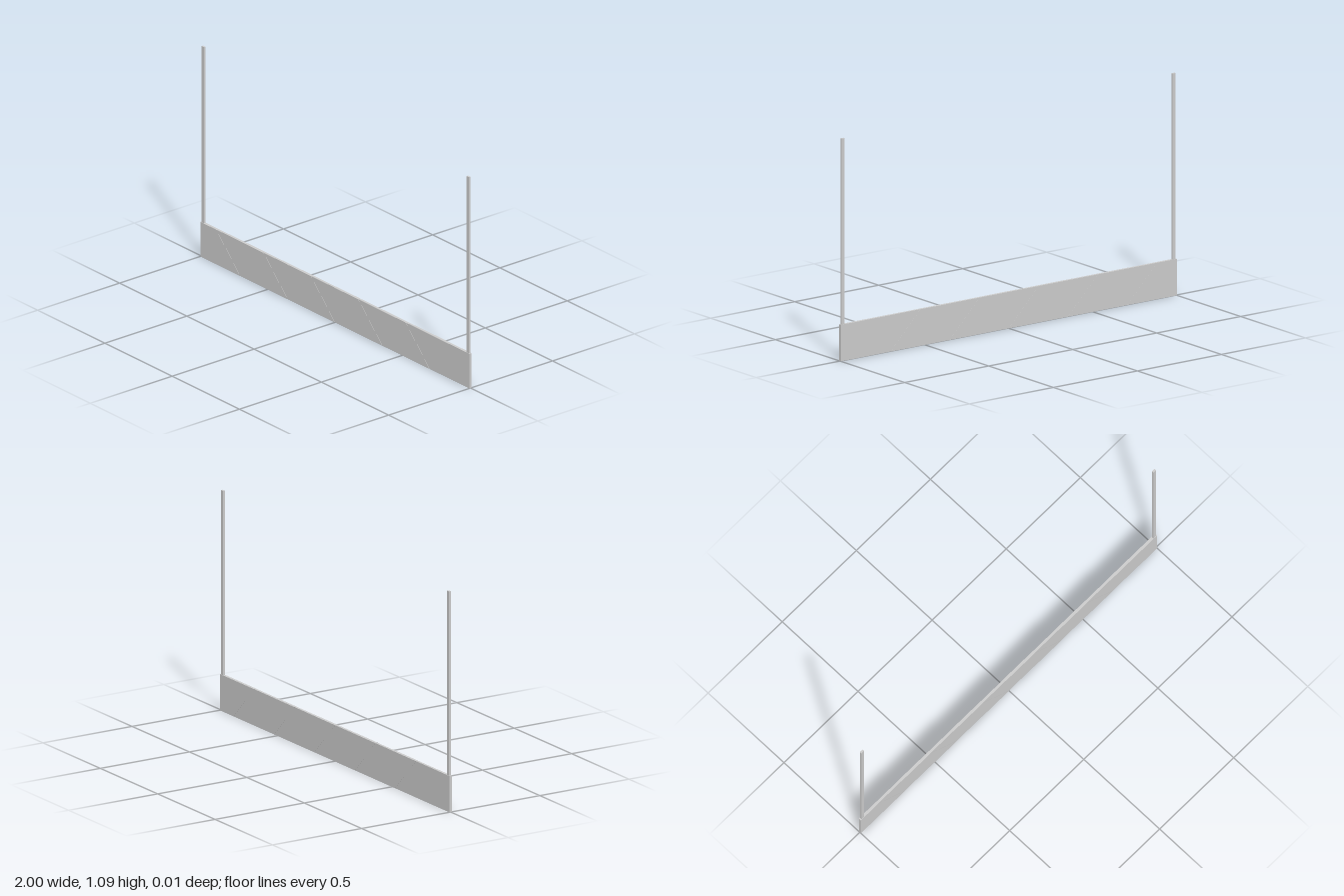
import * as THREE from 'three';

const HEIGHT = 0.178;      // panel height
const STEP = 0.352;        // distance between stripes, two panel heights
const CORE = 0.0125;       // panel thickness
const POST_TOP = 1.085;

export function createModel() {
  const group = new THREE.Group();
  const material = new THREE.MeshStandardMaterial({ color: 0xcccccc, flatShading: true });

  const add = (name, geometry, x, y, z) => {
    const mesh = new THREE.Mesh(geometry, material);
    mesh.name = name;
    mesh.position.set(x, y, z);
    group.add(mesh);
  };

  // long barrier board
  add('board', new THREE.BoxGeometry(2, HEIGHT, CORE), 0, HEIGHT / 2, 0);

  // diagonal warning stripes, barely proud of the board on both faces
  const clamp = (x) => Math.max(-1, Math.min(1, x));
  for (let i = 0; i < 6; i++) {
    const right = -0.704 + i * STEP;
    const left = right - STEP / 2;
    const bottomLeft = i === 0 ? -1 : left;
    const bottomRight = i === 5 ? 1 : right;
    const topLeft = i === 0 ? -1 : left - HEIGHT;
    const topRight = i === 5 ? 1 : right - HEIGHT;
    const outline = new THREE.Shape([
      new THREE.Vector2(clamp(bottomLeft), 0),
      new THREE.Vector2(clamp(bottomRight), 0),
      new THREE.Vector2(clamp(topRight), HEIGHT),
      new THREE.Vector2(clamp(topLeft), HEIGHT),
    ]);
    const depth = CORE + 0.0015;
    const stripe = new THREE.ExtrudeGeometry(outline, { depth, bevelEnabled: false });
    add('stripe' + (i + 1), stripe, 0, 0, -CORE / 2 - 0.0005);
  }

  // square posts standing on both ends of the board
  for (const side of [-1, 1]) {
    const length = POST_TOP - HEIGHT;
    add(side > 0 ? 'leftPost' : 'rightPost', new THREE.BoxGeometry(0.018, length, 0.01),
      side * 0.985, HEIGHT + length / 2, 0);
  }

  return group;
}
